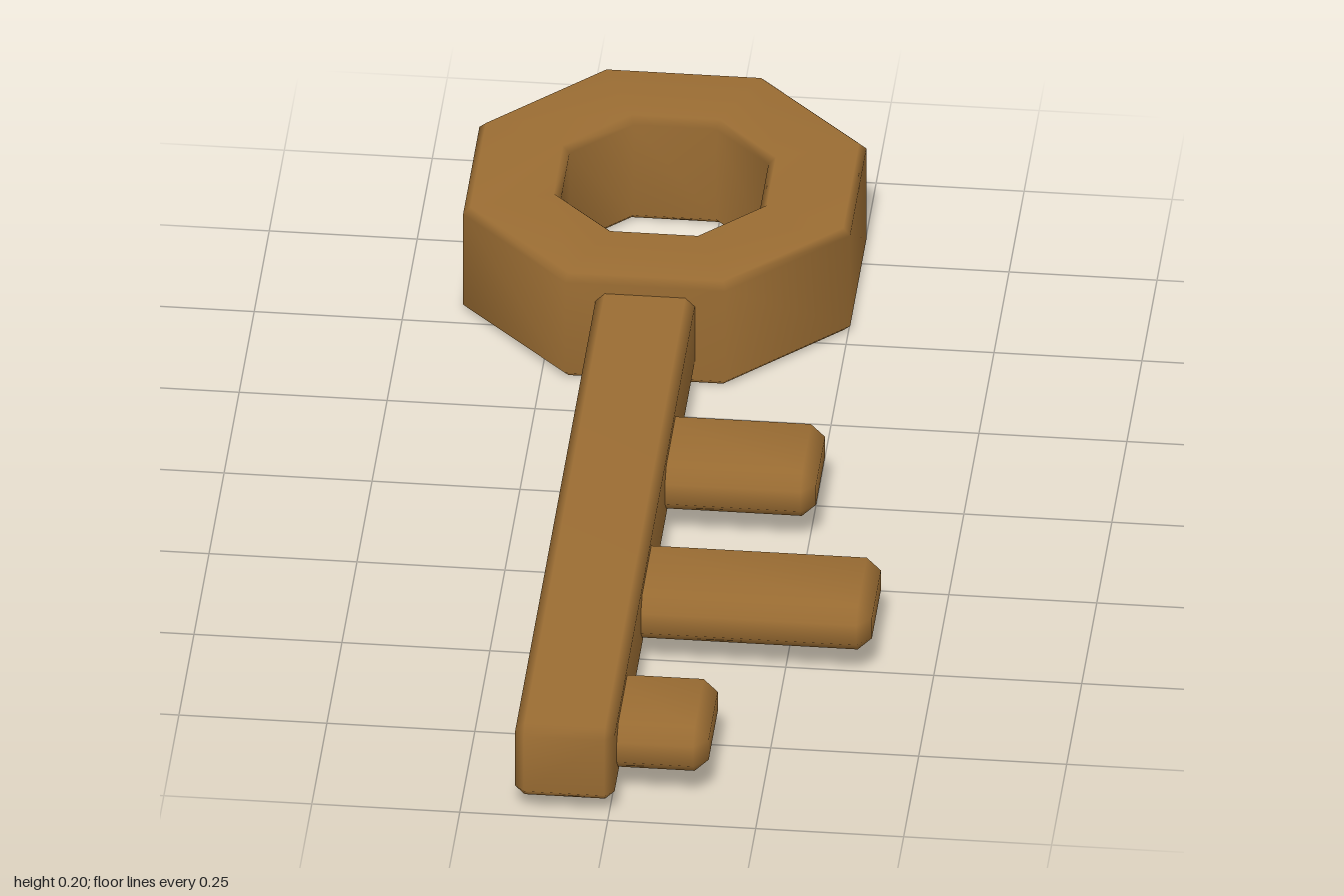
import * as THREE from 'three';
import { mergeVertices } from 'three/addons/utils/BufferGeometryUtils.js';
import { ConvexGeometry } from 'three/addons/geometries/ConvexGeometry.js';

// Weld shared corners so the bevels shade softly
function smooth(geometry) {
  geometry.deleteAttribute('normal');
  geometry.deleteAttribute('uv');
  const welded = mergeVertices(geometry, 1e-4);
  welded.computeVertexNormals();
  return welded;
}

// Box between two corners with every edge chamfered by c
function chamferBox(min, max, c) {
  const half = max.map((m, i) => (m - min[i]) / 2);
  const points = [];
  for (const sx of [-1, 1]) for (const sy of [-1, 1]) for (const sz of [-1, 1]) {
    for (let axis = 0; axis < 3; axis++) {
      const p = half.map((h, i) => (i === axis ? h : h - c));
      points.push(new THREE.Vector3(sx * p[0], sy * p[1], sz * p[2]));
    }
  }
  const geometry = smooth(new ConvexGeometry(points));
  return geometry.translate(...min.map((m, i) => (m + max[i]) / 2));
}

export function createModel() {
  const group = new THREE.Group();
  const bronze = new THREE.MeshStandardMaterial({ color: 0x9b6d33 });
  bronze.name = 'bronze';

  const add = (name, geometry) => {
    const mesh = new THREE.Mesh(geometry, bronze);
    mesh.name = name;
    group.add(mesh);
    return mesh;
  };

  // Octagonal bow with a bevelled rim, sized by its flat sides
  const toCorner = 1 / Math.cos(Math.PI / 8);
  const outer = 0.327, inner = 0.168, height = 0.205, b = 0.012;
  const profile = [
    [outer - b, 0], [outer, b], [outer, height - b], [outer - b, height],
    [inner + b, height], [inner, height - b], [inner, b], [inner + b, 0], [outer - b, 0],
  ].map(([r, y]) => new THREE.Vector2(r * toCorner, y));
  const bow = add('bow', smooth(new THREE.LatheGeometry(profile, 8, Math.PI / 8)));
  bow.position.set(-0.074, 0, -0.674);

  // Straight shaft
  add('shaft', chamferBox([-0.158, 0.033, -0.37], [0.01, 0.175, 1], 0.016));

  // Three teeth on the left side: [tip x, centre z]
  [[0.263, 0.05], [0.398, 0.45], [0.163, 0.85]].forEach(([tip, z], i) => {
    add(`tooth${i + 1}`, chamferBox([-0.06, 0.06, z - 0.099], [tip, 0.147, z + 0.099], 0.024));
  });

  return group;
}
